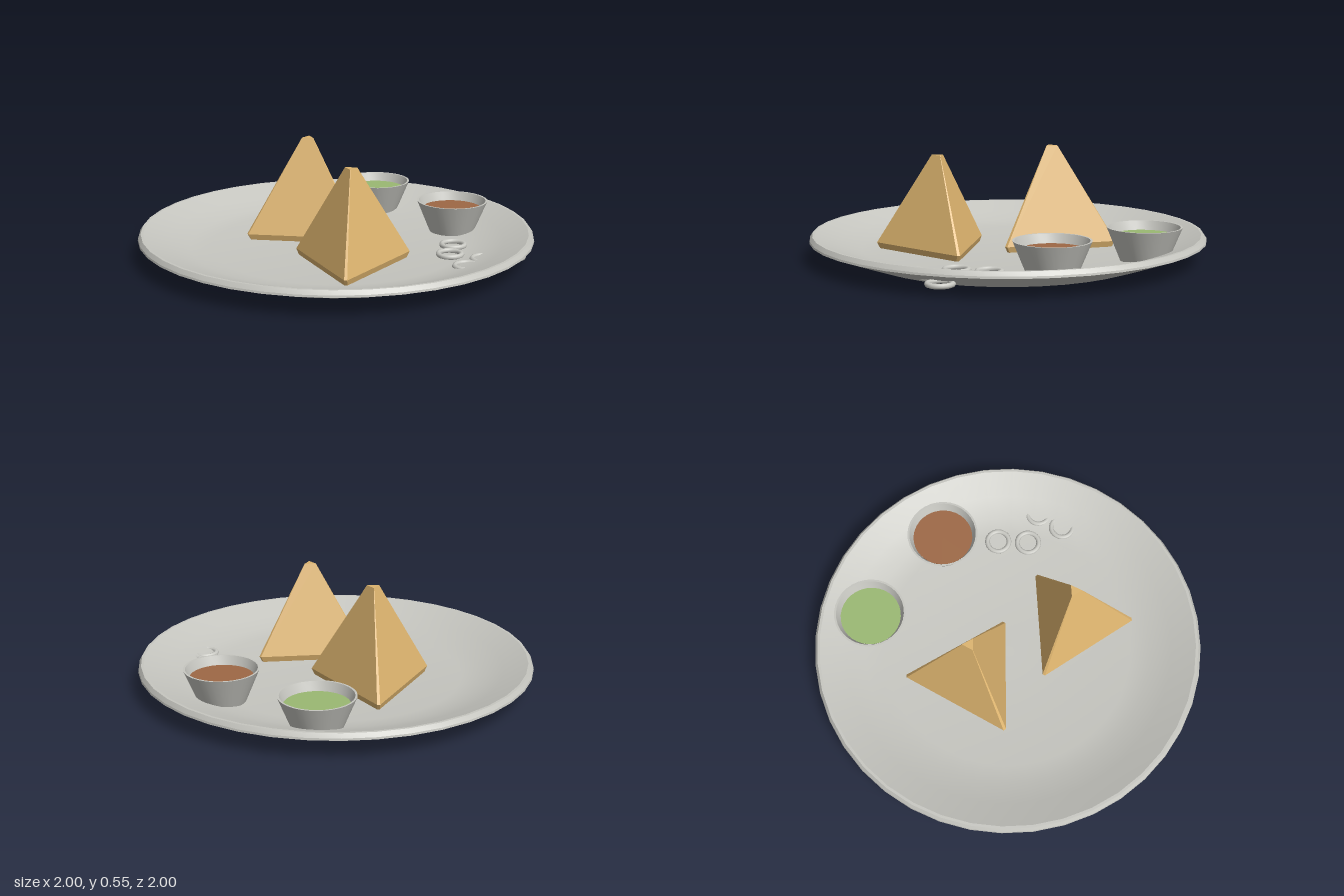
import * as THREE from 'three';
import { toCreasedNormals } from 'three/addons/utils/BufferGeometryUtils.js';

const material = (name, color) => {
  const m = new THREE.MeshStandardMaterial({ color });
  m.name = name;
  return m;
};

const lathe = (points, segments) => toCreasedNormals(
  new THREE.LatheGeometry(points.map(([r, y]) => new THREE.Vector2(r, y)), segments), 0.3);

// Three-sided pyramid with cut corners, a blunt tip and a tucked-in base
function pastryGeometry(radius, baseY, topY, turn) {
  const rings = [[radius * 0.95, baseY], [radius, baseY + 0.03], [0.035, topY]];
  const positions = [];
  const index = [];
  const cut = 0.025;
  for (const [r, y] of rings) {
    const corner = (i) => new THREE.Vector3(
      r * Math.cos(turn + i * Math.PI * 2 / 3), y, r * Math.sin(turn + i * Math.PI * 2 / 3));
    for (let i = 0; i < 3; i++) {
      for (const side of [-1, 1]) {
        positions.push(...corner(i).lerp(corner(i + side), cut).toArray());
      }
    }
  }
  for (let k = 0; k < 2; k++) {
    for (let i = 0; i < 6; i++) {
      const a = k * 6 + i, b = k * 6 + (i + 1) % 6;
      index.push(a, a + 6, b, b, a + 6, b + 6);
    }
  }
  for (let i = 1; i < 5; i++) {
    index.push(0, i, i + 1, 12, 12 + i + 1, 12 + i);
  }
  const g = new THREE.BufferGeometry();
  g.setAttribute('position', new THREE.Float32BufferAttribute(positions, 3));
  g.setIndex(index);
  const flat = g.toNonIndexed();
  flat.computeVertexNormals();
  return flat;
}

export function createModel() {
  const model = new THREE.Group();
  model.name = 'snackPlate';
  const metal = material('plateGrey', 0xc6c6c0);
  const pastry = material('pastryGold', 0xdcb36e);
  const green = material('greenSauce', 0x9ab872);
  const brown = material('brownSauce', 0x9d6845);
  const onion = material('onionWhite', 0xcacac4);

  const add = (parent, name, geometry, mat, x = 0, y = 0, z = 0) => {
    const mesh = new THREE.Mesh(geometry, mat);
    mesh.name = name;
    mesh.position.set(x, y, z);
    parent.add(mesh);
    return mesh;
  };

  // Shallow plate: underside, rim, then the dished top
  add(model, 'plate', lathe([
    [0, 0], [0.72, 0], [0.785, 0.022], [1, 0.1], [0.998, 0.11], [0.985, 0.13], [0.972, 0.13],
    [0.85, 0.085], [0.74, 0.049], [0.64, 0.035], [0, 0.035],
  ], 40), metal);

  // Two pastries
  const pastries = [
    ['largePastry', -0.253, -0.002, 0.35, 0.55, -0.3],
    ['smallPastry', 0.322, 0.14, 0.334, 0.52, 0.695],
  ];
  for (const [name, x, z, radius, top, turn] of pastries) {
    add(model, name, pastryGeometry(radius, 0.036, top, turn), pastry, x, 0, z);
  }

  // Sauce bowls, hollow and tapered
  const bowlGeometry = lathe([
    [0, 0.03], [0.115, 0.03], [0.185, 0.2], [0.175, 0.2], [0.152, 0.14], [0, 0.14],
  ], 32);
  const sauceGeometry = new THREE.CylinderGeometry(0.156, 0.154, 0.008, 32);
  for (const [name, x, z, sauce] of [['green', -0.432, -0.577, green], ['brown', 0.14, -0.65, brown]]) {
    const bowl = new THREE.Group();
    bowl.name = name + 'SauceBowl';
    bowl.position.set(x, 0, z);
    add(bowl, name + 'Bowl', bowlGeometry, metal);
    add(bowl, name + 'Sauce', sauceGeometry, sauce, 0, 0.152, 0);
    model.add(bowl);
  }

  // Onion rings lying on the plate, the outer ones sunk into its slope
  const ringGeometry = new THREE.TorusGeometry(0.058, 0.013, 8, 24).rotateX(Math.PI / 2);
  const rings = [[0.37, -0.468], [0.482, -0.353], [0.64, -0.437], [0.678, -0.293], [0.683, -0.58]];
  rings.forEach(([x, z], i) => add(model, 'onionRing' + (i + 1), ringGeometry, onion, x, 0.044, z));

  return model;
}
